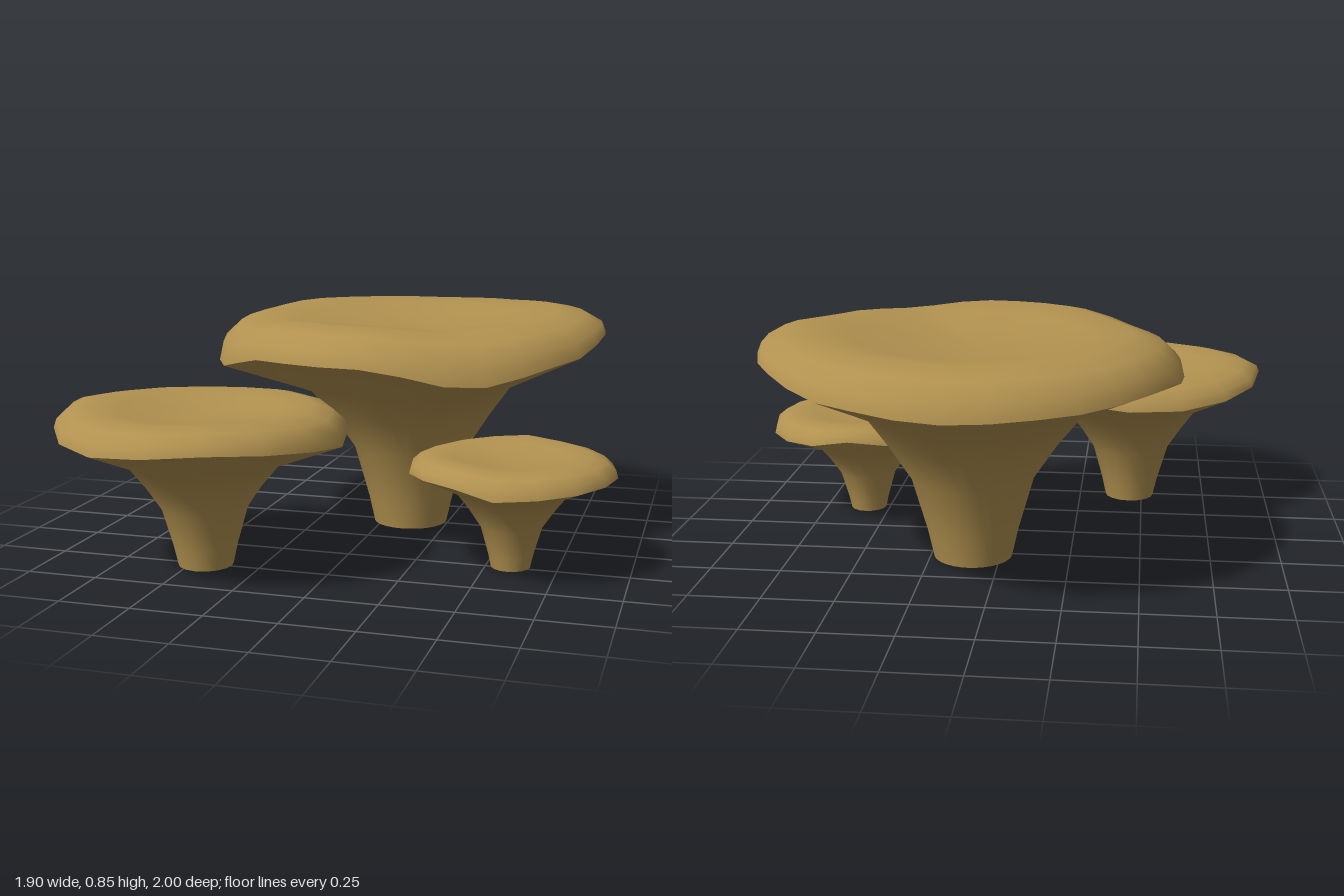
import * as THREE from 'three';
import { mergeVertices } from 'three/addons/utils/BufferGeometryUtils.js';

// profile rows: radius, height, share of the rim wave
const RIM = 0.7;
const STEM = [
  [0.141, 0, 0], [0.163, 0.1, 0], [0.22, 0.3, 0], [0.31, 0.435, 0.1],
  [0.4, 0.55, 0.3], [0.735, RIM, 1],
];
const CAP = [
  [0.735, RIM, 1], [0.72, 0.755, 0.7], [0.66, 0.803, 0.45], [0.56, 0.828, 0.3],
  [0.42, 0.81, 0.2], [0.25, 0.785, 0.1], [0, 0.77, 0],
];

// rim height at an angle, smoothly blended between evenly spaced heights
function rimHeight(heights, angle) {
  const n = heights.length;
  const t = ((angle / (2 * Math.PI) + 1) % 1) * n;
  const i = Math.floor(t);
  const blend = THREE.MathUtils.smoothstep(t - i, 0, 1);
  return THREE.MathUtils.lerp(heights[i % n], heights[(i + 1) % n], blend);
}

// turned surface whose height follows the wavy rim
function wavyLathe(profile, sides, heights) {
  let geo = new THREE.LatheGeometry(profile.map(([r, y]) => new THREE.Vector2(r, y)), sides);
  const pos = geo.attributes.position;
  for (let i = 0; i < pos.count; i++) {
    const share = profile[i % profile.length][2];
    const angle = Math.atan2(pos.getZ(i), pos.getX(i));
    pos.setY(i, pos.getY(i) + share * (rimHeight(heights, angle) - RIM));
  }
  // weld the seam so the shading stays smooth
  geo.deleteAttribute('uv');
  geo.deleteAttribute('normal');
  geo = mergeVertices(geo, 1e-4);
  geo.computeVertexNormals();
  return geo;
}

export function createModel() {
  const model = new THREE.Group();
  model.name = 'mushroomCluster';
  const tan = new THREE.MeshStandardMaterial({ color: 0xb29250, side: THREE.DoubleSide });
  tan.name = 'mushroomTan';

  // rim heights run from +x towards +z in steps of 30 degrees
  function mushroom(name, x, z, scale, sides, rim) {
    const group = new THREE.Group();
    group.name = name;
    const heights = rim.map((h) => h / scale);
    // separate stem and cap keep the rim edge crisp
    for (const [part, profile] of [['stemAndUnderside', STEM], ['capTop', CAP]]) {
      const mesh = new THREE.Mesh(wavyLathe(profile, sides, heights), tan);
      mesh.name = part;
      group.add(mesh);
    }
    group.scale.setScalar(scale);
    group.position.set(x, 0, z);
    model.add(group);
  }

  mushroom('largeMushroom', 0.1, -0.265, 1, 32,
    [0.76, 0.7, 0.645, 0.71, 0.71, 0.645, 0.675, 0.705, 0.69, 0.68, 0.705, 0.75]);
  mushroom('mediumMushroom', -0.45, 0.495, 0.685, 16,
    [0.45, 0.475, 0.5, 0.485, 0.47, 0.495, 0.53, 0.505, 0.475, 0.475, 0.49, 0.47]);
  mushroom('smallMushroom', 0.585, 0.23, 0.49, 16,
    [0.34, 0.34, 0.33, 0.32, 0.355, 0.345, 0.335, 0.325, 0.345, 0.365, 0.335, 0.33]);
  return model;
}
